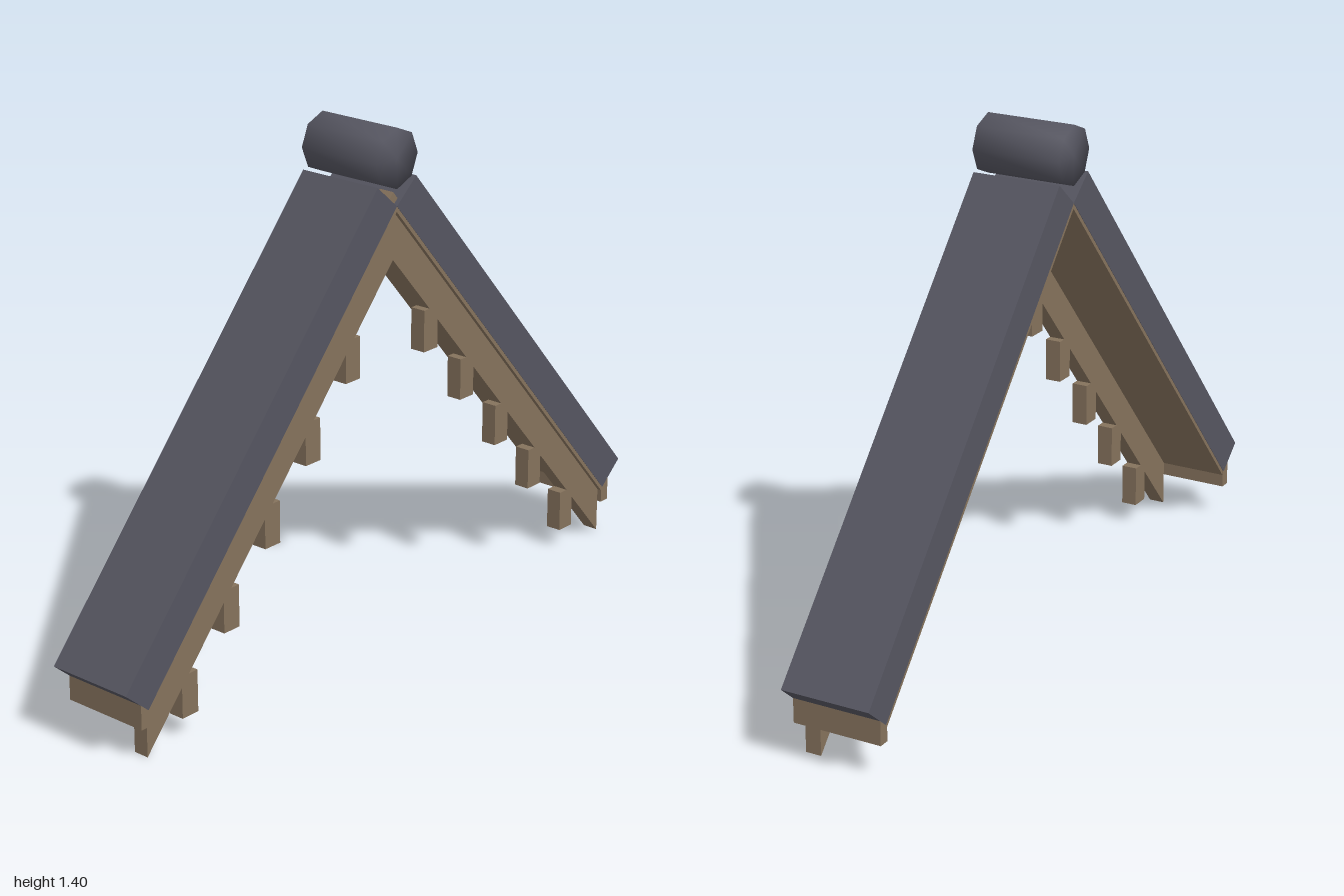
import * as THREE from 'three';
import { mergeVertices } from 'three/addons/utils/BufferGeometryUtils.js';

const slate = new THREE.MeshStandardMaterial({ color: 0x555560 });
const wood = new THREE.MeshStandardMaterial({ color: 0x85725c });

// Prism with a (z, y) outline running from x0 to x1
function prism(name, outline, x0, x1, material) {
  const shape = new THREE.Shape(outline.map(([z, y]) => new THREE.Vector2(z, y)));
  const geometry = new THREE.ExtrudeGeometry(shape, { depth: x1 - x0, bevelEnabled: false });
  geometry.rotateY(-Math.PI / 2).translate(x1, 0, 0);
  const mesh = new THREE.Mesh(geometry, material);
  mesh.name = name;
  return mesh;
}

function createSlope(side) {
  const slope = new THREE.Group();
  slope.name = side > 0 ? 'frontSlope' : 'backSlope';
  const add = (name, outline, x0, x1, material) =>
    slope.add(prism(name, outline.map(([z, y]) => [z * side, y]), x0, x1, material));

  // Roof covering and the boarding beneath it
  add('roofPanel', [[1, 0.2], [0.075, 1.26], [0, 1.195], [0.925, 0.135]], -0.125, 0.125, slate);
  add('soffit', [[0.925, 0.135], [0, 1.195], [0, 1.18], [0.92, 0.126]], -0.124, 0.124, wood);

  // Eave board across the lower end
  add('fascia', [[0.92, 0.09], [0.95, 0.09], [0.95, 0.157], [0.92, 0.157]], -0.125, 0.125, wood);

  // Gable board with plumb-cut ends
  add('bargeboard', [[0, 1.05], [0.92, 0], [0.92, 0.18], [0, 1.23]], 0.068, 0.112, wood);

  // Row of hanging blocks under the gable board
  for (let i = 0; i < 5; i++) {
    const block = new THREE.Mesh(new THREE.BoxGeometry(0.044, 0.115, 0.055), wood);
    block.name = 'dentil';
    block.position.set(0.09, 0.822 - i * 0.177, side * (0.155 + i * 0.1532));
    slope.add(block);
  }
  return slope;
}

export function createModel() {
  const model = new THREE.Group();
  model.name = 'gableRoof';
  model.add(createSlope(1), createSlope(-1));

  // Eight-sided ridge roll, shaded smoothly over its ends
  let roll = new THREE.CylinderGeometry(0.08, 0.08, 0.25, 8);
  roll.deleteAttribute('normal');
  roll.deleteAttribute('uv');
  roll = mergeVertices(roll);
  roll.computeVertexNormals();
  roll.rotateZ(Math.PI / 2);
  const ridge = new THREE.Mesh(roll, slate);
  ridge.name = 'ridgeRoll';
  ridge.position.y = 1.32;
  model.add(ridge);
  return model;
}
